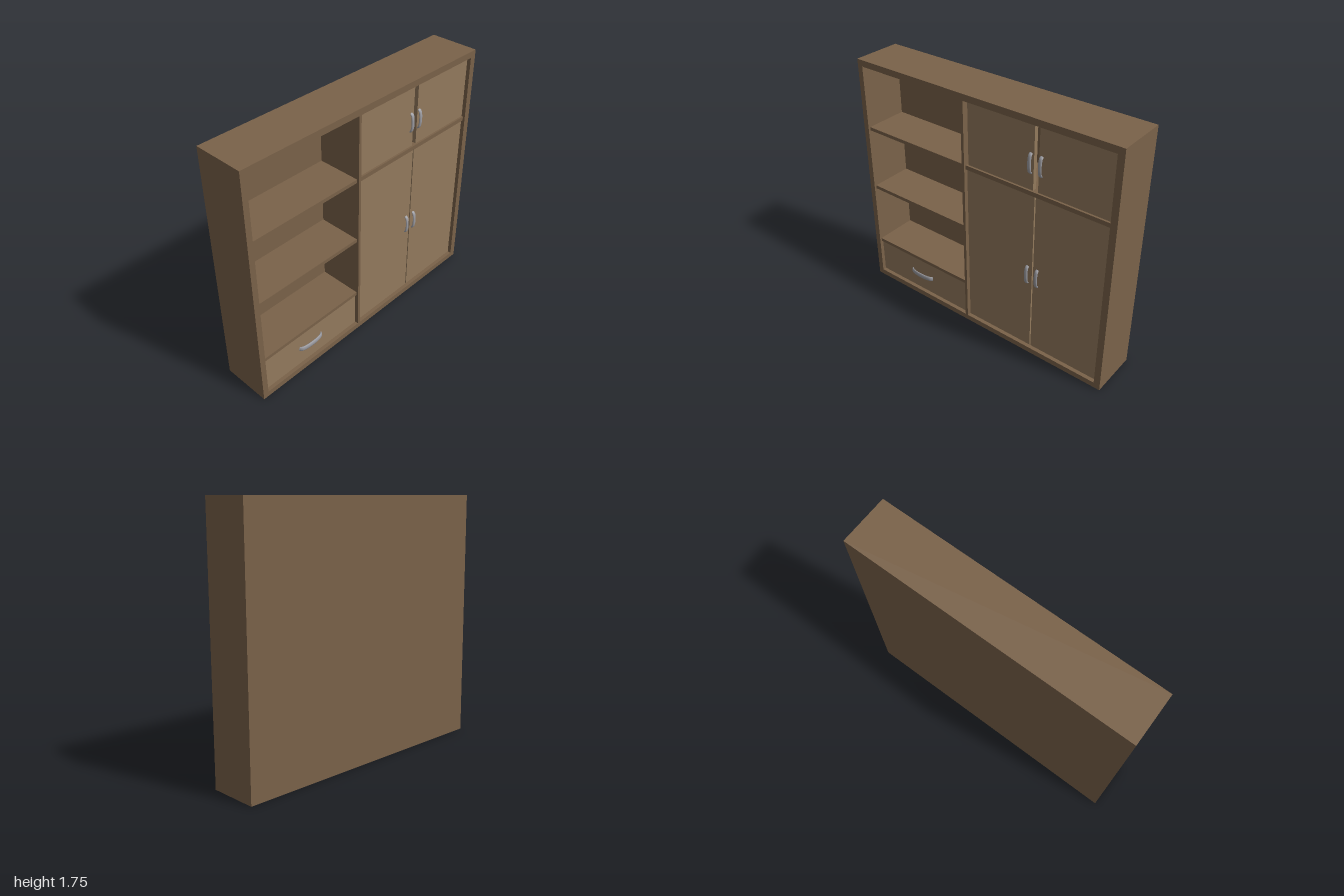
import * as THREE from 'three';

const wood = new THREE.MeshStandardMaterial({ color: 0x7a6249, side: THREE.DoubleSide });
const panelWood = new THREE.MeshStandardMaterial({ color: 0x937a5d });
const metal = new THREE.MeshStandardMaterial({ color: 0x9c9ca2, side: THREE.DoubleSide });

const FRONT = 0.175, BACK = -0.175, HEIGHT = 1.755;
const INNER_BACK = -0.15, PANEL_Z = 0.15;

export function createModel() {
  const model = new THREE.Group();

  function add(name, geometry, material) {
    const mesh = new THREE.Mesh(geometry, material);
    mesh.name = name;
    model.add(mesh);
    return mesh;
  }

  // Box given by its limits; open lists the sides left out (0..5 = +x -x +y -y +z -z)
  function block(name, [x0, x1], [y0, y1], [z0, z1], material, open = []) {
    const g = new THREE.BoxGeometry(x1 - x0, y1 - y0, z1 - z0);
    const index = Array.from(g.index.array);
    g.setIndex(index.filter((_, i) => !open.includes(Math.floor(i / 6))));
    g.clearGroups();
    g.translate((x0 + x1) / 2, (y0 + y1) / 2, (z0 + z1) / 2);
    return add(name, g, material);
  }

  // Outer case, open underneath, with the front left to the frame
  block('case', [-1, 1], [0, HEIGHT], [BACK, FRONT], wood, [3, 4]);

  // Front frame with one opening per bay, each lined by a recessed compartment
  const bays = { shelfBay: [-0.96, -0.12], cupboardBay: [-0.1, 0.955] };
  const bayY = [0.04, 1.71];
  const frame = new THREE.Shape();
  frame.moveTo(-1, 0).lineTo(1, 0).lineTo(1, HEIGHT).lineTo(-1, HEIGHT).closePath();
  for (const [name, [x0, x1]] of Object.entries(bays)) {
    const hole = new THREE.Path();
    hole.moveTo(x0, bayY[0]).lineTo(x0, bayY[1]).lineTo(x1, bayY[1]).lineTo(x1, bayY[0]).closePath();
    frame.holes.push(hole);
    block(name, [x0, x1], bayY, [INNER_BACK, FRONT], wood, [4]);
  }
  add('frontFrame', new THREE.ShapeGeometry(frame), wood).position.z = FRONT;

  // Shelves in the open bay and the rail between the cupboards
  for (const y of [0.305, 0.772, 1.24]) {
    block('shelf', bays.shelfBay, [y, y + 0.025], [INNER_BACK, 0.16], wood);
  }
  block('cupboardRail', bays.cupboardBay, [1.235, 1.265], [INNER_BACK, 0.16], wood);

  // Drawer front and doors
  const panelZ = [PANEL_Z - 0.03, PANEL_Z];
  block('drawerFront', [-0.957, -0.123], [0.043, 0.3], panelZ, panelWood);
  block('upperDoorRight', [-0.085, 0.413], [1.268, 1.708], panelZ, panelWood);
  block('upperDoorLeft', [0.449, 0.952], [1.268, 1.708], panelZ, panelWood);
  block('lowerDoorRight', [-0.096, 0.426], [0.043, 1.228], panelZ, panelWood);
  block('lowerDoorLeft', [0.435, 0.952], [0.043, 1.228], panelZ, panelWood);

  // Bowed handles, flattened tubes whose ends sink into the panel
  function handle(name, x, y, length, width, rise, upright) {
    const h = length / 2;
    const path = new THREE.CatmullRomCurve3([
      [-h, -0.006], [-h * 0.85, rise * 0.45], [-h * 0.45, rise * 0.9], [0, rise],
      [h * 0.45, rise * 0.9], [h * 0.85, rise * 0.45], [h, -0.006],
    ].map(([u, z]) => new THREE.Vector3(u, 0, z)));
    const g = new THREE.TubeGeometry(path, 24, 0.007, 12);
    g.scale(1, width / 0.014, 1);
    const mesh = add(name, g, metal);
    mesh.position.set(x, y, PANEL_Z);
    if (upright) mesh.rotation.z = Math.PI / 2;
  }
  handle('drawerHandle', -0.555, 0.175, 0.2, 0.038, 0.021, false);
  for (const x of [0.39, 0.466]) {
    handle('upperDoorHandle', x, 1.447, 0.135, 0.025, 0.017, true);
    handle('lowerDoorHandle', x, 0.632, 0.135, 0.025, 0.017, true);
  }

  return model;
}
